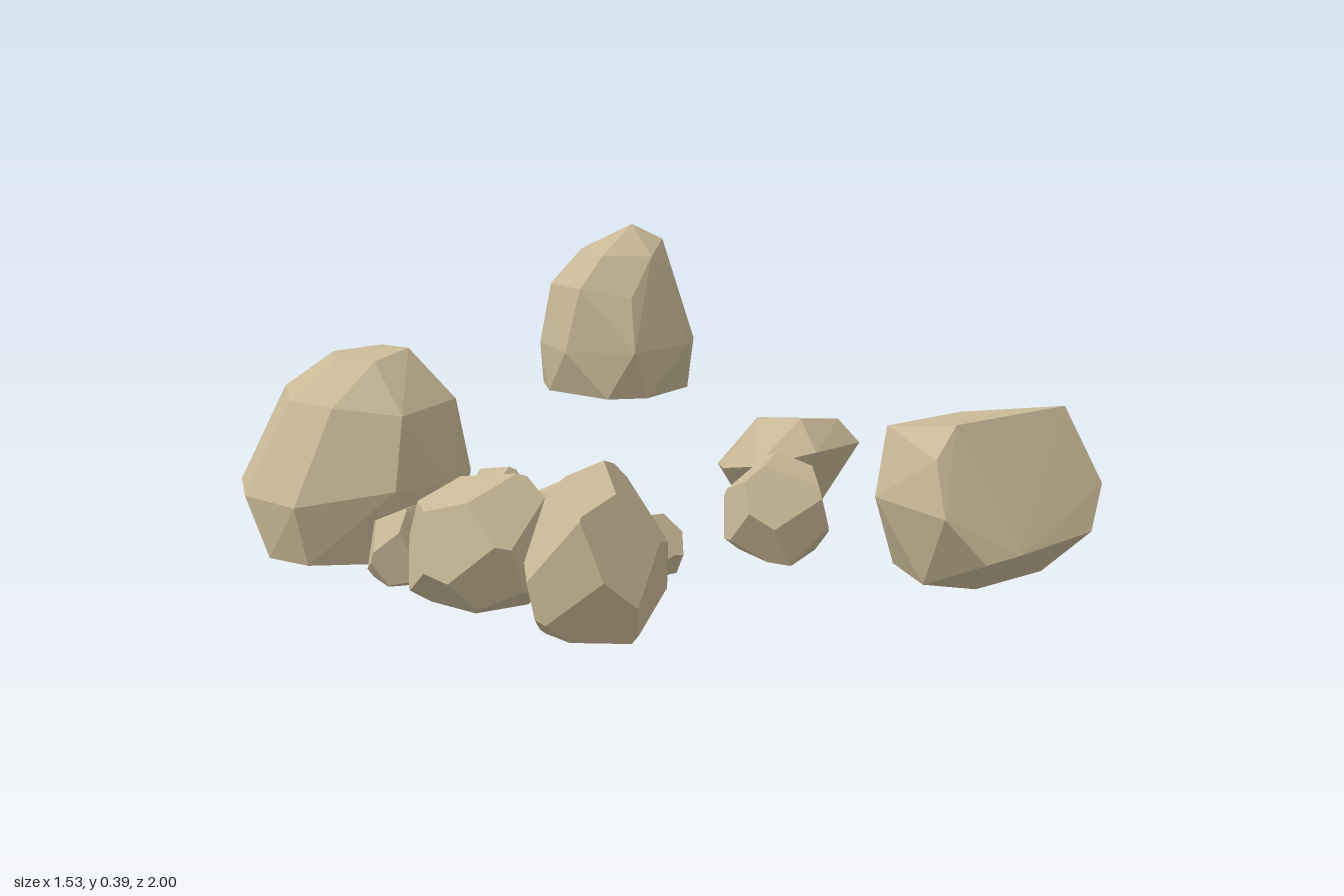
import * as THREE from 'three';
import { ConvexGeometry } from 'three/addons/geometries/ConvexGeometry.js';

const V = (x, y, z) => new THREE.Vector3(x, y, z);

function seeded(seed) {
  let s = seed * 7919 + 17;
  return () => (s = (s * 16807) % 2147483647) / 2147483647;
}

// Scale and shift points so they fill the given x, y and z ranges
function fit(points, x, y, z) {
  const from = new THREE.Box3().setFromPoints(points);
  const size = from.getSize(V(0, 0, 0));
  const to = V(x[1] - x[0], y[1] - y[0], z[1] - z[0]);
  return points.map((p) => p.sub(from.min).divide(size).multiply(to).add(V(x[0], y[0], z[0])));
}

// Chipped stone: corners of a body cut by planes spread around a sphere
function chippedPoints(seed, count) {
  const rnd = seeded(seed);
  for (let i = 0; i < 5; i++) rnd();
  const planes = [{ n: V(0, -1, 0), d: 0.82 }];
  for (let i = 0; i < count; i++) {
    const y = 1 - (2 * i + 1) / count;
    const a = i * 2.39996 + seed + rnd() * 0.5;
    const r = Math.sqrt(1 - y * y);
    const n = V(r * Math.cos(a), y + (rnd() - 0.5) * 0.2, r * Math.sin(a)).normalize();
    planes.push({ n, d: 0.92 + rnd() * 0.16 });
  }
  const points = [];
  for (let i = 0; i < planes.length; i++)
    for (let j = 0; j < i; j++)
      for (let k = 0; k < j; k++) {
        const [a, b, c] = [planes[i], planes[j], planes[k]];
        const bc = b.n.clone().cross(c.n);
        const det = a.n.dot(bc);
        if (Math.abs(det) < 0.05) continue;
        const p = bc.multiplyScalar(a.d)
          .addScaledVector(c.n.clone().cross(a.n), b.d)
          .addScaledVector(a.n.clone().cross(b.n), c.d)
          .divideScalar(det);
        if (planes.every((q) => q.n.dot(p) < q.d + 1e-6)) points.push(p);
      }
  return points;
}

// Boulder from rings [y, centre x, centre z, radius x, radius z, sides]
function ringPoints(seed, rings) {
  const rnd = seeded(seed);
  const points = [];
  rings.forEach(([y, cx, cz, rx, rz, n], k) => {
    for (let i = 0; i < n; i++) {
      const a = ((i + k * 0.5 + (rnd() - 0.5) * 0.4) / n) * Math.PI * 2;
      const lift = k ? (rnd() - 0.5) * 0.035 : 0;
      points.push(V(cx + rx * Math.cos(a), y + lift, cz + rz * Math.sin(a)));
    }
  });
  return points;
}

export function createModel() {
  const group = new THREE.Group();
  const material = new THREE.MeshStandardMaterial({ color: 0xc8b896, flatShading: true });

  function addRock(name, points) {
    const mesh = new THREE.Mesh(new ConvexGeometry(points), material);
    mesh.name = name;
    group.add(mesh);
  }

  // Two tall boulders cut flat at the ground
  addRock('largeBoulder', fit(ringPoints(3, [
    [0, -0.56, 0.05, 0.19, 0.18, 8],
    [0.12, -0.56, 0.05, 0.21, 0.21, 9],
    [0.27, -0.535, 0.06, 0.155, 0.17, 8],
    [0.345, -0.54, 0.06, 0.075, 0.085, 5],
  ]), [-0.77, -0.35], [0, 0.365], [-0.16, 0.26]));

  addRock('distantBoulder', fit(ringPoints(8, [
    [0, 0.58, -0.815, 0.165, 0.165, 8],
    [0.1, 0.583, -0.815, 0.18, 0.185, 8],
    [0.24, 0.575, -0.81, 0.15, 0.14, 7],
    [0.33, 0.58, -0.79, 0.09, 0.095, 6],
    [0.385, 0.6, -0.78, 0, 0, 1],
  ]), [0.4, 0.765], [0, 0.39], [-1, -0.63]));

  // Split boulder with one broad flat face toward the front
  addRock('splitBoulder', [
    [0.15, 0.07, 0.99], [0.22, 0.08, 1], [0.40, 0.09, 0.98], [0.46, 0.16, 0.94],
    [0.43, 0.29, 0.87], [0.17, 0.29, 0.88], [0.11, 0.24, 0.9], [0.09, 0.15, 0.95],
    [0.15, 0.26, 0.72], [0.30, 0.27, 0.74], [0.39, 0.25, 0.72], [0.45, 0.2, 0.8],
    [0.11, 0.14, 0.74], [0.18, 0.17, 0.67], [0.30, 0.2, 0.64], [0.385, 0.12, 0.66],
    [0.14, 0, 0.84], [0.18, 0, 0.71], [0.34, 0, 0.69], [0.41, 0, 0.80], [0.37, 0, 0.89], [0.2, 0, 0.91],
  ].map((p) => V(...p)));

  // Low slab, thick at the front and sloping down to the back
  addRock('slopingSlab', [
    [0.28, 0.06, 0.09], [0.35, 0.05, 0.11], [0.39, 0.09, 0.25], [0.34, 0.14, 0.41],
    [0.22, 0.14, 0.43], [0.13, 0.11, 0.36], [0.14, 0.08, 0.24], [0.2, 0.06, 0.14],
    [0.31, 0.185, 0.38], [0.22, 0.195, 0.38], [0.2, 0.18, 0.27], [0.27, 0.13, 0.16], [0.33, 0.15, 0.24],
    [0.3, 0.02, 0.13], [0.2, 0, 0.22], [0.32, 0, 0.24], [0.29, 0.02, 0.36], [0.2, 0.02, 0.36],
  ].map((p) => V(...p)));

  // Chipped stones and pebbles: name, x range, z range, height, number of cuts
  const stones = [
    ['middleStone', [-0.055, 0.145], [0.44, 0.64], 0.185, 16],
    ['frontLeftStone', [-0.605, -0.36], [0.63, 0.865], 0.28, 18],
    ['leftStone', [-0.675, -0.415], [0.39, 0.62], 0.225, 17],
    ['pebble', [-0.68, -0.54], [0.265, 0.4], 0.14, 13],
    ['pebble', [-0.54, -0.455], [0.295, 0.39], 0.08, 12],
    ['pebble', [-0.41, -0.33], [0.27, 0.38], 0.09, 12],
    ['pebble', [-0.465, -0.35], [0.34, 0.52], 0.13, 13],
    ['pebble', [-0.35, -0.245], [0.34, 0.44], 0.1, 12],
    ['pebble', [-0.365, -0.23], [0.06, 0.2], 0.12, 13],
    ['pebble', [-0.245, -0.115], [0.12, 0.225], 0.09, 12],
    ['pebble', [-0.295, -0.15], [0.465, 0.585], 0.11, 12],
    ['pebble', [-0.4, -0.27], [0.57, 0.68], 0.09, 12],
  ];
  stones.forEach(([name, x, z, height, cuts], i) =>
    addRock(name === 'pebble' ? `pebble${i - 2}` : name, fit(chippedPoints(i + 1, cuts), x, [0, height], z)));

  return group;
}
